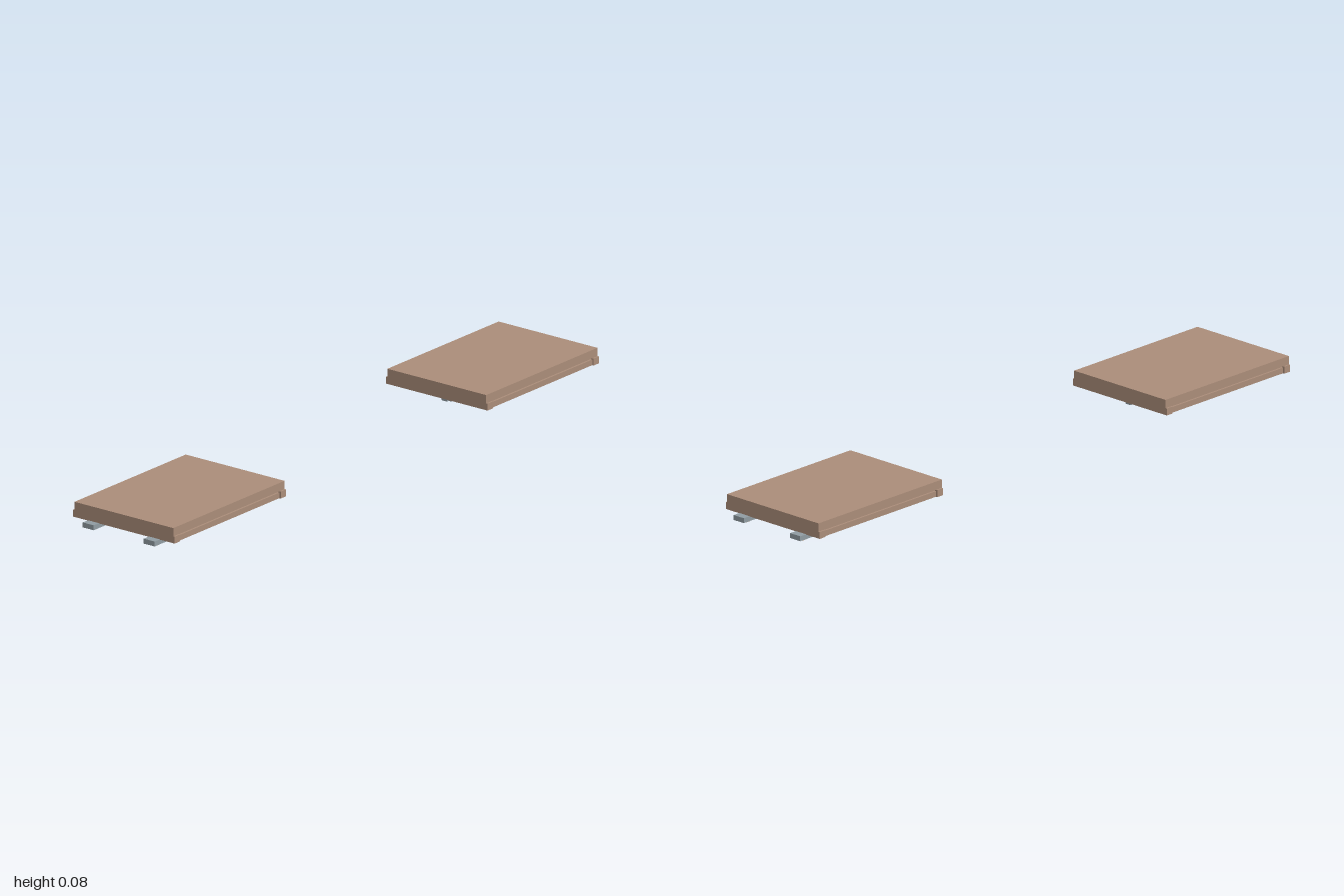
import * as THREE from 'three';

function material(name, color) {
  const mat = new THREE.MeshStandardMaterial({ color });
  mat.name = name;
  return mat;
}
const wood = material('brown wood', 0xab8d79);
const paleWood = material('pale wood', 0xc8ac8e);
const metal = material('grey metal', 0x909ca2);

// Box given by its lower and upper limits on each axis
function box(name, mat, [x0, x1], [y0, y1], [z0, z1]) {
  const mesh = new THREE.Mesh(new THREE.BoxGeometry(x1 - x0, y1 - y0, z1 - z0), mat);
  mesh.position.set((x0 + x1) / 2, (y0 + y1) / 2, (z0 + z1) / 2);
  mesh.name = name;
  return mesh;
}

// One panel centred on x = 0; s is +1 or -1, the side its hinges point to
function createPanel(s) {
  const panel = new THREE.Group();
  panel.name = s > 0 ? 'leftPanel' : 'rightPanel';
  const span = (a, b) => (s > 0 ? [a, b] : [-b, -a]);
  const mirrored = (side, a, b) => (side > 0 ? [a, b] : [-b, -a]);

  // Top board and the recessed core that leaves a groove along the long sides
  panel.add(box('topBoard', wood, [-0.256, 0.256], [0.05, 0.075], [-0.18, 0.18]));
  panel.add(box('core', wood, [-0.235, 0.235], [0.039, 0.05], [-0.174, 0.174]));

  // Rim below the board; the end rails stand a little proud at the corners
  for (const side of [-1, 1]) {
    panel.add(box('longRim', wood, [-0.232, 0.232], [0.029, 0.046], mirrored(side, 0.166, 0.18)));
    panel.add(box('endRail', wood, mirrored(side, 0.232, 0.256), [0.029, 0.05], [-0.185, 0.185]));
  }

  // Planks on the underside, running lengthwise
  const count = 10, pitch = 0.332 / count;
  for (let i = 0; i < count; i++) {
    const z = -0.166 + i * pitch;
    panel.add(box('plank', paleWood, [-0.232, 0.232], [0.033, 0.039], [z + 0.002, z + pitch - 0.002]));
  }
  panel.add(box('centreBatten', wood, [-0.232, 0.232], [0.021, 0.034], [-0.022, 0.011]));

  // Hinges with their pegs at the outer end
  for (const z of [-0.111, 0.111]) {
    panel.add(box('hinge', metal, span(0.228, 0.28), [0.015, 0.03], [z - 0.02, z + 0.02]));
    panel.add(box('hingePeg', paleWood, span(0.241, 0.259), [0.008, 0.015], [z - 0.008, z + 0.008]));
  }

  // Latch at the inner end
  panel.add(box('latch', metal, span(-0.222, -0.152), [0.008, 0.021], [-0.01, 0.01]));
  panel.add(box('latchKnob', metal, span(-0.197, -0.177), [0, 0.008], [-0.006, 0.006]));

  panel.position.x = s * 0.72;
  return panel;
}

export function createModel() {
  const model = new THREE.Group();
  model.name = 'panelPair';
  for (const s of [-1, 1]) model.add(createPanel(s));
  return model;
}
